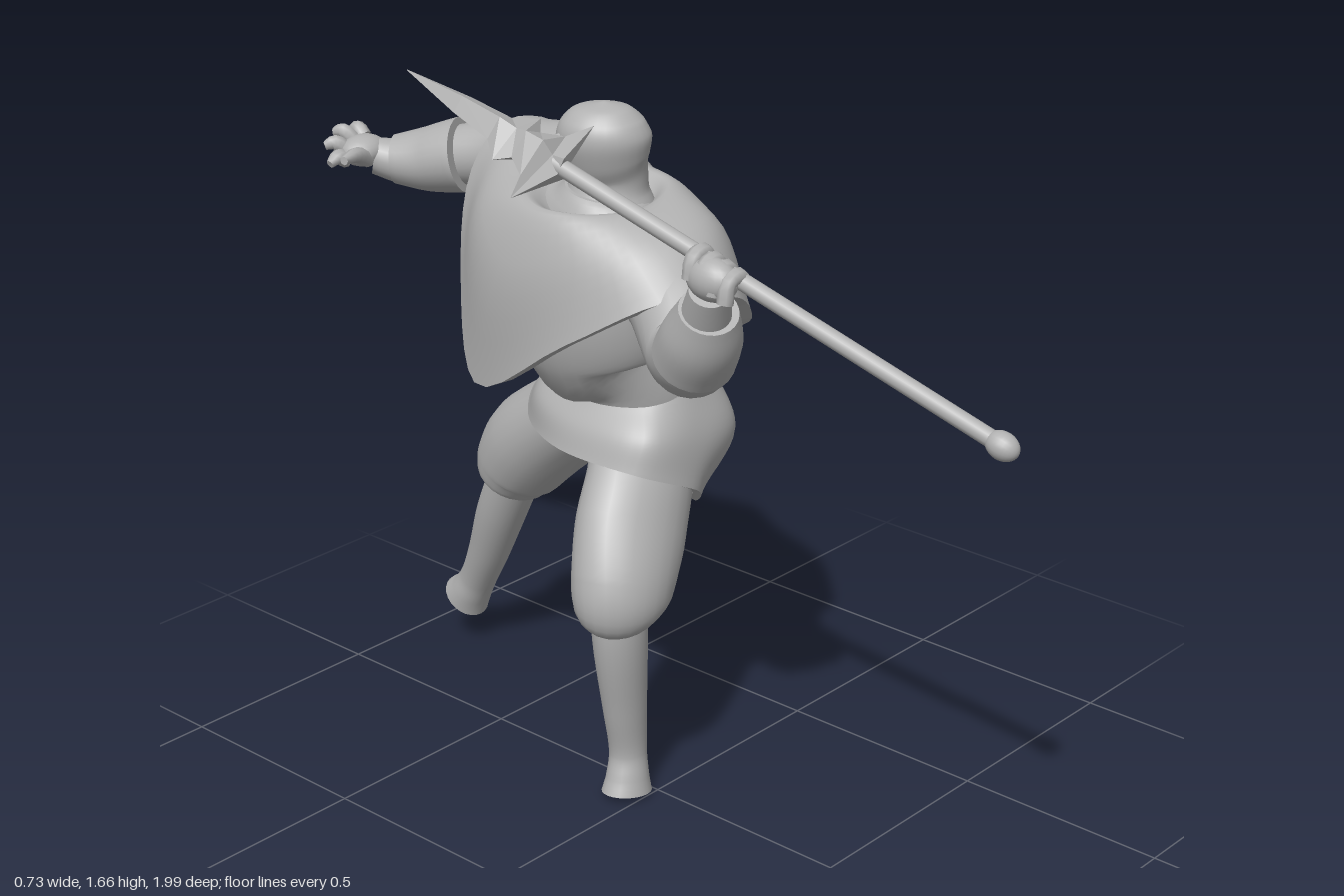
import * as THREE from 'three';

const V = (x, y, z) => new THREE.Vector3(x, y, z);
const grey = new THREE.MeshStandardMaterial({ color: 0xb2b2b2 });
grey.name = 'clay grey';
const greySheet = new THREE.MeshStandardMaterial({ color: 0xb2b2b2, side: THREE.DoubleSide });
greySheet.name = 'clay grey cloth';

function mesh(name, geometry, material = grey) {
  const m = new THREE.Mesh(geometry, material);
  m.name = name;
  return m;
}

function fromArrays(pos, idx) {
  const g = new THREE.BufferGeometry();
  g.setAttribute('position', new THREE.Float32BufferAttribute(pos, 3));
  g.setIndex(idx);
  g.computeVertexNormals();
  return g;
}

// Smooth limb through stations [x, y, z, radiusA, radiusB]; radiusA lies along ref
function limb(name, stations, ref = V(1, 0, 0), sides = 24, steps = 6) {
  const path = new THREE.CatmullRomCurve3(stations.map(s => V(s[0], s[1], s[2])), false, 'centripetal');
  const n = (stations.length - 1) * steps, pos = [], idx = [], rings = [];
  // Radii follow the same kind of spline as the path
  const radii = new THREE.CatmullRomCurve3(stations.map(s => V(s[3], s[4] ?? s[3], 0)), false, 'catmullrom', 0.5);
  for (let i = 0; i <= n; i++) {
    const t = i / n, c = path.getPoint(t), tan = path.getTangent(t), r = radii.getPoint(t);
    const u = ref.clone().addScaledVector(tan, -ref.dot(tan)).normalize();
    const v = tan.clone().cross(u), ring = [];
    for (let j = 0; j < sides; j++) {
      const a = j / sides * Math.PI * 2;
      const p = c.clone().addScaledVector(u, r.x * Math.cos(a)).addScaledVector(v, r.y * Math.sin(a));
      ring.push(p);
      pos.push(p.x, p.y, p.z);
    }
    rings.push({ c, ring });
  }
  for (let i = 0; i < n; i++) for (let j = 0; j < sides; j++) {
    const a = i * sides + j, b = i * sides + (j + 1) % sides;
    idx.push(a, b, b + sides, a, b + sides, a + sides);
  }
  // End caps with their own vertices, so the rims stay sharp
  [rings[0], rings[n]].forEach(({ c, ring }, end) => {
    const base = pos.length / 3;
    pos.push(c.x, c.y, c.z);
    ring.forEach(p => pos.push(p.x, p.y, p.z));
    for (let j = 0; j < sides; j++) {
      const a = base + 1 + j, b = base + 1 + (j + 1) % sides;
      end ? idx.push(base, a, b) : idx.push(base, b, a);
    }
  });
  return mesh(name, fromArrays(pos, idx));
}

// Closed cloth with thickness, each column listing points from the top edge to the hem
function cloth(name, columns, thickness, cols = 60, rows = 16) {
  const loops = columns[0].map((_, k) =>
    new THREE.CatmullRomCurve3(columns.map(c => V(...c[k])), true, 'centripetal'));
  const pos = [], idx = [], at = (r, c) => r * cols + c % cols;
  const lines = [];
  for (let c = 0; c < cols; c++)
    lines.push(new THREE.CatmullRomCurve3(loops.map(l => l.getPoint(c / cols)), false, 'centripetal'));
  for (let r = 0; r <= rows; r++) for (const l of lines) pos.push(...l.getPoint(r / rows).toArray());
  for (let r = 0; r < rows; r++) for (let c = 0; c < cols; c++)
    idx.push(at(r, c), at(r, c + 1), at(r + 1, c + 1), at(r, c), at(r + 1, c + 1), at(r + 1, c));
  const outer = fromArrays(pos, idx), nor = outer.attributes.normal.array;
  const inPos = pos.map((p, i) => p - nor[i] * thickness);
  const inner = fromArrays(inPos, idx.slice().reverse());
  // Strips closing the top edge and the hem
  const edge = (r, flip) => {
    const p = [], q = [];
    for (let c = 0; c < cols; c++) {
      const k = at(r, c) * 3, a = c * 2, b = ((c + 1) % cols) * 2;
      p.push(...pos.slice(k, k + 3), ...inPos.slice(k, k + 3));
      flip ? q.push(a, a + 1, b + 1, a, b + 1, b) : q.push(a, b, b + 1, a, b + 1, a + 1);
    }
    return fromArrays(p, q);
  };
  const g = new THREE.Group();
  g.name = name;
  g.add(mesh(name + 'Outside', outer, greySheet), mesh(name + 'Lining', inner, greySheet),
    mesh(name + 'TopEdge', edge(0, true), greySheet), mesh(name + 'Hem', edge(rows, false), greySheet));
  return g;
}

function ball(name, p, r) {
  const m = mesh(name, new THREE.SphereGeometry(1, 20, 14));
  m.position.set(...p);
  m.scale.set(...r);
  return m;
}

function spear() {
  const g = new THREE.Group();
  g.name = 'spear';
  const butt = V(-0.115, 1.155, 0.965), tip = V(-0.292, 1.655, -0.43);
  const len = butt.distanceTo(tip);
  const y = tip.clone().sub(butt).normalize();
  const x = V(0.245, 0.1, 0).addScaledVector(y, -V(0.245, 0.1, 0).dot(y)).normalize();
  g.applyMatrix4(new THREE.Matrix4().makeBasis(x, y, x.clone().cross(y)).setPosition(butt));
  const shaft = mesh('shaft', new THREE.CylinderGeometry(0.018, 0.018, 1.1, 14));
  shaft.position.y = 0.55;
  g.add(shaft, ball('pommel', [0, 0, 0], [0.028, 0.036, 0.028]));
  // Barbed blade from diamond sections [distance, half width, half thickness]
  const sections = [[1.07, 0.02, 0.03], [1.1, 0.13, 0.02], [1.125, 0.07, 0.046], [1.17, 0.045, 0.042],
    [1.195, 0.075, 0.032], [1.24, 0.038, 0.034], [1.34, 0.028, 0.026], [len, 0.001, 0.001]];
  const pos = [], idx = [];
  for (const [s, w, t] of sections) pos.push(w, s, 0, 0, s, -t, -w, s, 0, 0, s, t);
  for (let i = 0; i < sections.length - 1; i++) for (let j = 0; j < 4; j++) {
    const a = i * 4 + j, b = i * 4 + (j + 1) % 4;
    idx.push(a, b, b + 4, a, b + 4, a + 4);
  }
  idx.push(0, 2, 1, 0, 3, 2);
  const blade = fromArrays(pos, idx).toNonIndexed();
  blade.computeVertexNormals();
  g.add(mesh('blade', blade));
  return g;
}

export function createModel() {
  const model = new THREE.Group();
  model.name = 'spearThrower';
  const across = V(0.3, 0, -0.95).normalize(), face = V(-0.5, 0, -0.86).normalize();

  // Head and eyes
  model.add(limb('head', [[0.045, 1.31, -0.185, 0.13, 0.12], [0.045, 1.37, -0.18, 0.092, 0.082], [0.042, 1.41, -0.176, 0.084, 0.068],
    [0.03, 1.455, -0.175, 0.096, 0.078], [0.025, 1.5, -0.174, 0.102, 0.085], [0.025, 1.535, -0.173, 0.086, 0.073],
    [0.025, 1.558, -0.172, 0.056, 0.048], [0.025, 1.57, -0.172, 0.004]], face, 28));
  for (const s of [-1, 1]) {
    const e = V(0.025, 1.495, -0.175).addScaledVector(face, 0.086).addScaledVector(V(-face.z, 0, face.x), s * 0.043);
    model.add(ball('eye', e.toArray(), [0.012, 0.012, 0.012]));
  }

  // Torso
  model.add(limb('torso', [[0.14, 0.82, -0.19, 0.15, 0.13], [0.13, 0.94, -0.18, 0.165, 0.15], [0.09, 1.03, -0.225, 0.215, 0.185],
    [0.06, 1.14, -0.22, 0.24, 0.18], [0.055, 1.25, -0.215, 0.235, 0.155], [0.045, 1.34, -0.19, 0.14, 0.115],
    [0.045, 1.375, -0.185, 0.09, 0.09]], across, 32));

  // Poncho: neckline, shoulder and hem, from the back tip round past the spear arm
  const poncho = [
    [[0.18, 1.39, -0.2], [0.3, 1.28, -0.22], [0.31, 0.985, -0.19]],
    [[0.17, 1.38, -0.12], [0.25, 1.27, -0.05], [0.23, 1.08, 0.06]],
    [[0.11, 1.37, -0.075], [0.15, 1.32, 0.03], [0.14, 1.165, 0.125]],
    [[0.03, 1.36, -0.065], [0.03, 1.32, 0.06], [0.03, 1.215, 0.16]],
    [[-0.06, 1.36, -0.095], [-0.09, 1.31, 0], [-0.1, 1.22, 0.1]],
    [[-0.11, 1.36, -0.16], [-0.15, 1.27, -0.1], [-0.18, 1.1, -0.1]],
    [[-0.12, 1.36, -0.23], [-0.17, 1.22, -0.3], [-0.145, 0.925, -0.41]],
    [[-0.09, 1.37, -0.3], [-0.11, 1.31, -0.42], [-0.09, 1.13, -0.5]],
    [[-0.02, 1.38, -0.345], [0, 1.39, -0.46], [0.02, 1.34, -0.57]],
    [[0.06, 1.4, -0.355], [0.1, 1.425, -0.46], [0.13, 1.43, -0.565]],
    [[0.14, 1.41, -0.33], [0.2, 1.435, -0.43], [0.27, 1.39, -0.52]],
    [[0.18, 1.4, -0.27], [0.31, 1.36, -0.34], [0.345, 1.1, -0.35]],
  ];
  // Collar lip folding inwards and down towards the neck
  const lip = ([x, y, z]) => [x + (0.04 - x) * 0.3, y - 0.03, z + (-0.185 - z) * 0.3];
  model.add(cloth('poncho', poncho.map(c => [lip(c[0]), ...c]), 0.028));

  // Tunic skirt: waist, hip and hem
  model.add(cloth('tunicSkirt', [
    [[0.28, 0.98, -0.17], [0.36, 0.78, -0.18], [0.33, 0.645, -0.2]],
    [[0.22, 0.96, -0.05], [0.27, 0.8, -0.01], [0.22, 0.62, -0.09]],
    [[0.12, 0.935, -0.01], [0.12, 0.83, 0.025], [0.09, 0.72, 0.035]],
    [[0.01, 0.92, -0.04], [-0.03, 0.86, 0], [-0.06, 0.79, -0.005]],
    [[-0.03, 0.91, -0.18], [-0.065, 0.86, -0.2], [-0.08, 0.8, -0.22]],
    [[0.04, 0.92, -0.32], [0.02, 0.87, -0.38], [0.03, 0.8, -0.42]],
    [[0.15, 0.95, -0.36], [0.17, 0.9, -0.43], [0.18, 0.825, -0.505]],
    [[0.24, 0.97, -0.3], [0.31, 0.85, -0.38], [0.32, 0.76, -0.42]],
  ], 0.02));

  // Spear side leg
  model.add(limb('rightTrouser', [[0.09, 0.84, -0.14, 0.11, 0.1], [0.04, 0.75, -0.085, 0.13, 0.095], [-0.03, 0.65, -0.05, 0.14, 0.1],
    [-0.09, 0.55, -0.02, 0.127, 0.102], [-0.105, 0.5, -0.015, 0.112, 0.095], [-0.1, 0.48, -0.02, 0.075, 0.068]]));
  model.add(limb('rightShinAndFoot', [[-0.09, 0.54, -0.035, 0.066, 0.06], [-0.085, 0.4, -0.035, 0.066, 0.057], [-0.06, 0.22, -0.045, 0.054, 0.046],
    [-0.045, 0.1, -0.05, 0.045, 0.041], [-0.052, 0.04, -0.045, 0.053, 0.046], [-0.057, 0.006, -0.043, 0.063, 0.052]]));

  // Stretched back leg
  model.add(limb('leftTrouser', [[0.16, 0.84, -0.28, 0.11], [0.18, 0.755, -0.405, 0.12, 0.11], [0.19, 0.65, -0.545, 0.118, 0.118],
    [0.2, 0.575, -0.61, 0.112, 0.108], [0.2, 0.535, -0.635, 0.1, 0.088], [0.2, 0.52, -0.645, 0.075, 0.066]]));
  model.add(limb('leftShinAndFoot', [[0.195, 0.57, -0.61, 0.066, 0.062], [0.21, 0.42, -0.69, 0.062, 0.06], [0.23, 0.28, -0.76, 0.052, 0.05],
    [0.245, 0.185, -0.815, 0.047, 0.045], [0.25, 0.14, -0.845, 0.052, 0.05], [0.253, 0.112, -0.867, 0.055, 0.06]]));

  // Spear arm with its sleeve cuff and fist
  model.add(limb('rightArm', [[0.05, 1.23, -0.12, 0.09], [0, 1.19, 0.04, 0.1], [-0.07, 1.12, 0.15, 0.092],
    [-0.125, 1.15, 0.215, 0.08], [-0.16, 1.22, 0.265, 0.06], [-0.205, 1.33, 0.32, 0.042]], V(0.7, 0.5, 0.2)));
  model.add(limb('rightCuff', [[-0.13, 1.145, 0.215, 0.088], [-0.155, 1.21, 0.26, 0.083], [-0.178, 1.275, 0.295, 0.062]]));
  model.add(ball('rightPalm', [-0.215, 1.36, 0.335], [0.04, 0.045, 0.06]));
  for (let i = 0; i < 4; i++) {
    const z = 0.295 + i * 0.03, y = 1.385 - i * 0.01;
    model.add(limb('rightFinger', [[-0.235, y - 0.03, z, 0.017], [-0.226, y + 0.012, z, 0.017], [-0.195, y + 0.02, z, 0.017],
      [-0.172, y - 0.005, z, 0.013]], V(0, 0, 1), 8, 3));
  }

  // Outstretched arm with its sleeve cuff and open hand
  model.add(limb('leftArm', [[0.1, 1.3, -0.36, 0.1], [0.16, 1.33, -0.5, 0.085], [0.182, 1.325, -0.62, 0.075],
    [0.155, 1.31, -0.73, 0.07], [0.09, 1.285, -0.84, 0.055], [0.035, 1.3, -0.9, 0.042]]));
  model.add(limb('leftCuff', [[0.15, 1.312, -0.725, 0.098, 0.087], [0.115, 1.295, -0.8, 0.085, 0.075], [0.07, 1.29, -0.87, 0.062, 0.056]]));
  model.add(ball('leftPalm', [0.015, 1.315, -0.915], [0.058, 0.036, 0.048]));
  // Each finger: base x, y, z and tip x, y, z
  [[-0.03, 1.3, -0.925, -0.08, 1.3, -0.925], [-0.02, 1.32, -0.94, -0.058, 1.33, -0.965], [0.01, 1.335, -0.945, -0.015, 1.35, -0.982],
    [0.04, 1.335, -0.94, 0.04, 1.345, -0.982], [0.005, 1.3, -0.89, -0.095, 1.325, -0.86]].forEach(([x, y, z, tx, ty, tz], i) =>
    model.add(limb(i < 4 ? 'leftFinger' : 'leftThumb',
      [[x, y, z, 0.019], [(x + tx) / 2, (y + ty) / 2 + 0.012, (z + tz) / 2, 0.018], [tx, ty, tz, 0.01]], V(0, 1, 0), 8, 3)));

  model.add(spear());
  return model;
}
